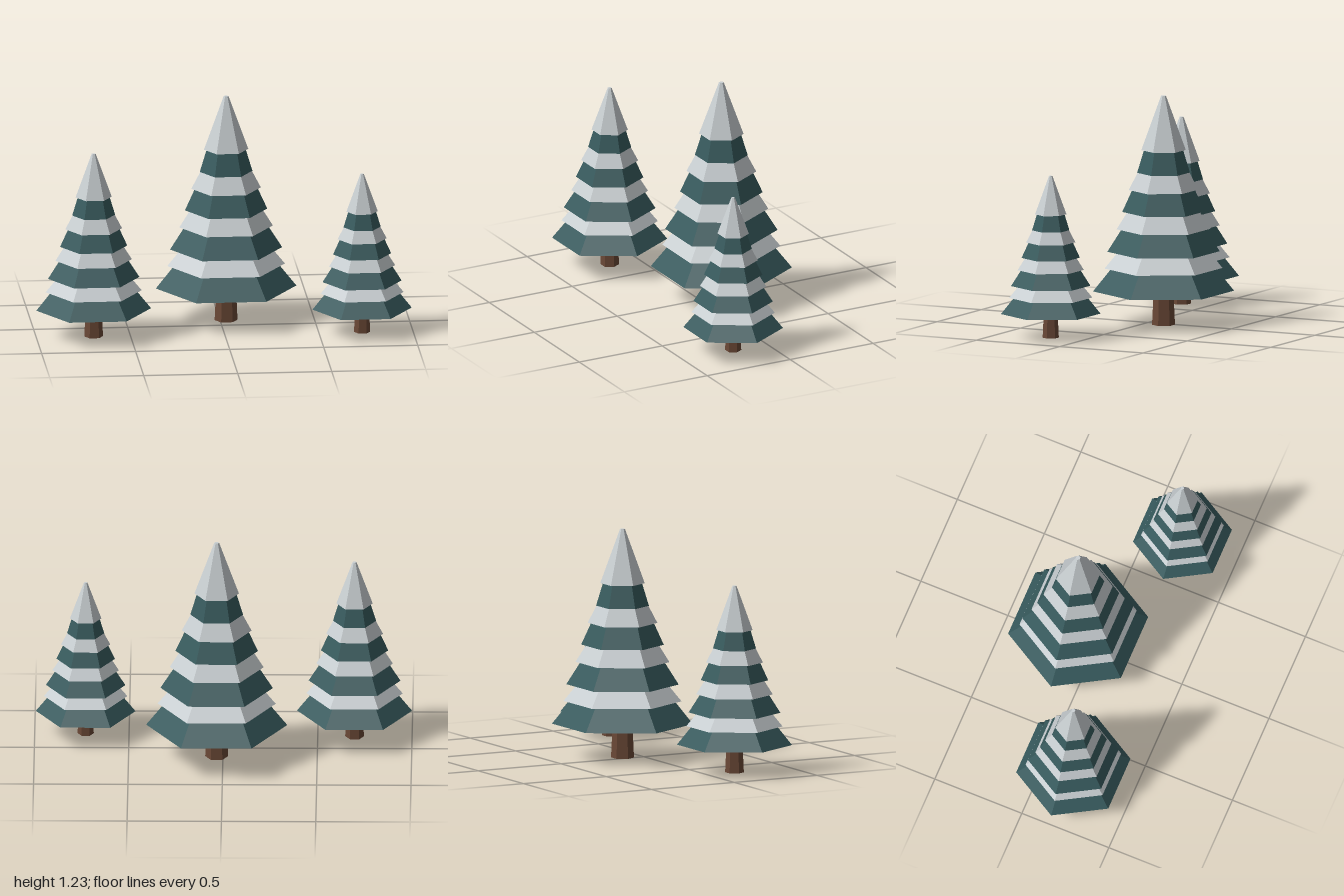
import * as THREE from 'three';

const needle = new THREE.MeshStandardMaterial({ color: 0x375a5d });
needle.name = 'needle green';
const snow = new THREE.MeshStandardMaterial({ color: 0xc9cfd2 });
snow.name = 'snow white';
const bark = new THREE.MeshStandardMaterial({ color: 0x694735 });
bark.name = 'bark brown';
for (const m of [needle, snow, bark]) m.flatShading = true;

// Each tier: green skirt below, overhanging snow cap above.
const tiers = [
  { y: 0.18, snowY: 0.302, top: 0.392, green: [0.374, 0.275], cap: [0.313, 0.238] },
  { y: 0.392, snowY: 0.512, top: 0.605, green: [0.298, 0.221], cap: [0.249, 0.19] },
  { y: 0.605, snowY: 0.722, top: 0.814, green: [0.219, 0.165], cap: [0.185, 0.136] },
  { y: 0.814, snowY: 0.935, top: 1.226, green: [0.14, 0.103], cap: [0.118, 0.013] },
];

// Closed six-sided frustum with corners on the x axis.
function frustum(name, material, y0, y1, r0, r1) {
  const g = new THREE.CylinderGeometry(r1, r0, y1 - y0, 6, 1, false, Math.PI / 2);
  g.translate(0, (y0 + y1) / 2, 0);
  const mesh = new THREE.Mesh(g, material);
  mesh.name = name;
  return mesh;
}

function tree(name, x, z, scale) {
  const group = new THREE.Group();
  group.name = name;
  group.add(frustum('trunk', bark, 0, 0.19, 0.061, 0.052));
  tiers.forEach((t, i) => {
    group.add(frustum(`branches${i + 1}`, needle, t.y, t.snowY + 0.002, ...t.green));
    group.add(frustum(`snowCap${i + 1}`, snow, t.snowY, t.top + (i < 3 ? 0.002 : 0), ...t.cap));
  });
  group.position.set(x, 0, z);
  group.scale.setScalar(scale);
  return group;
}

export function createModel() {
  const model = new THREE.Group();
  model.name = 'snowyPines';
  model.add(
    tree('tallPine', 0.033, -0.11, 1),
    tree('mediumPine', -0.695, 0.168, 0.816),
    tree('smallPine', 0.73, 0.197, 0.706),
  );
  return model;
}
